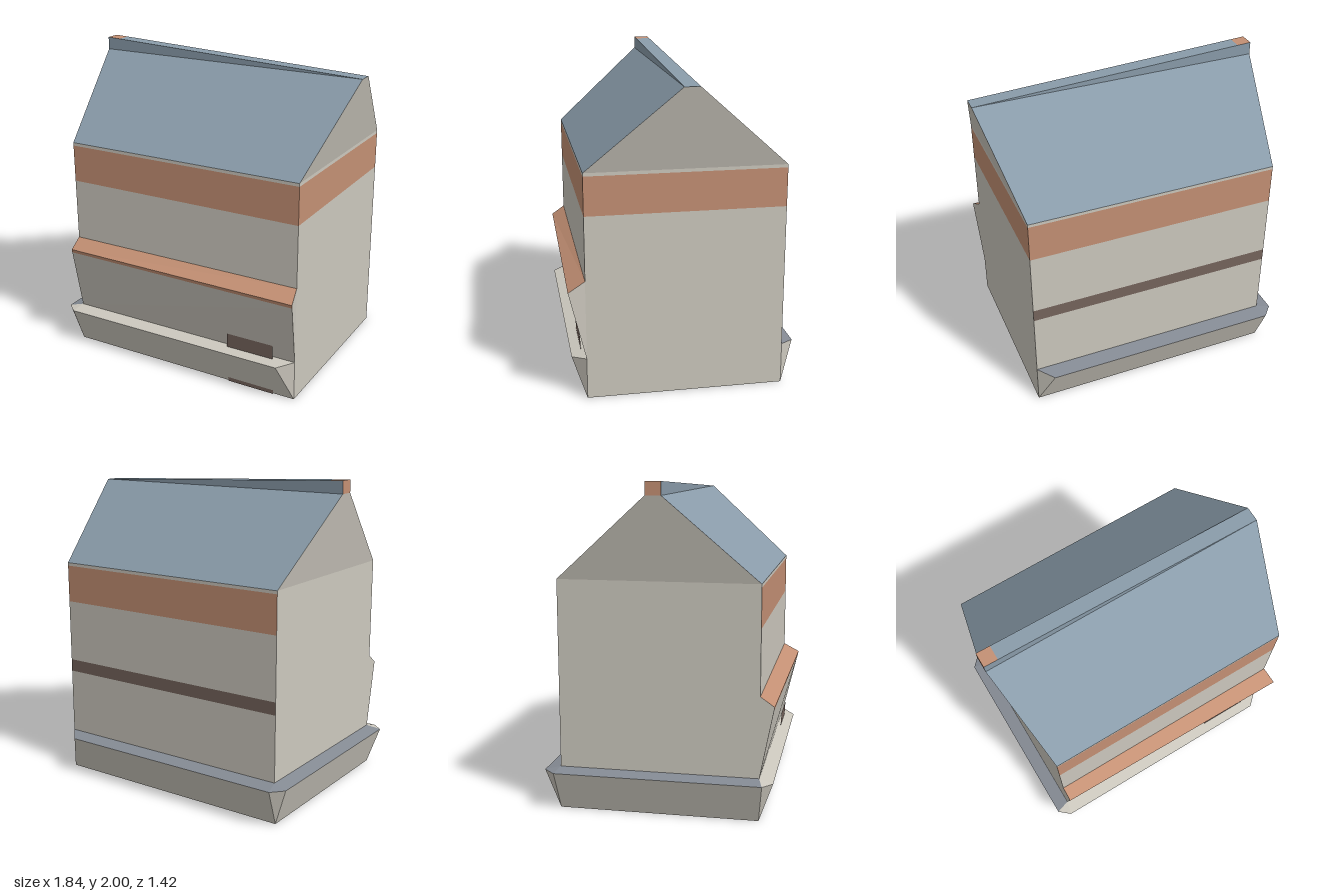
import * as THREE from 'three';

const STONE = 0xccc8be, ORANGE = 0xc49074, SLATE = 0x8a9caa, BROWN = 0x75645c, GREY = 0x858b94;

// Wall planes and main heights of the shell
const L = -0.82, R = 0.79, F = 0.605, B = -0.62;
const SKIRT = 0.26, BAND = 1.16, BAND_TOP = 1.4, EAVE = 1.42, RIDGE = 1.92;
const CORE = new THREE.Vector3(0, 0.1, 0);

export function createModel() {
  const model = new THREE.Group();

  // Builds one mesh from convex polygons, each wound to face away from the core
  function panel(name, color, ...polygons) {
    const pos = [];
    for (const polygon of polygons) {
      const p = polygon.map((q) => new THREE.Vector3(...q));
      const normal = p[1].clone().sub(p[0]).cross(p[2].clone().sub(p[0]));
      const centre = p.reduce((s, q) => s.add(q), new THREE.Vector3()).divideScalar(p.length);
      if (normal.dot(centre.sub(CORE)) < 0) p.reverse();
      for (let i = 1; i < p.length - 1; i++)
        for (const q of [p[0], p[i], p[i + 1]]) pos.push(q.x, q.y, q.z);
    }
    const geometry = new THREE.BufferGeometry();
    geometry.setAttribute('position', new THREE.Float32BufferAttribute(pos, 3));
    geometry.computeVertexNormals();
    const material = new THREE.MeshStandardMaterial({ color, flatShading: true, side: THREE.DoubleSide });
    const mesh = new THREE.Mesh(geometry, material);
    mesh.name = name;
    model.add(mesh);
  }

  // Upright strips along the front or back (fixed z) and along a side (fixed x)
  const across = (z, y0, y1) => [[L, y0, z], [R, y0, z], [R, y1, z], [L, y1, z]];
  const along = (x, y0, y1) => [[x, y0, B], [x, y0, F], [x, y1, F], [x, y1, B]];
  // Quads joining two rows of points
  const skin = (a, b) => a.slice(1).map((q, i) => [a[i], q, b[i + 1], b[i]]);

  // Flared skirt round front, left and back, with chamfered corners
  const rim = [[0.7, 0.69], [-0.84, 0.69], [-0.91, 0.63], [-0.91, -0.64], [-0.84, -0.715], [0.7, -0.715]]
    .map(([x, z]) => [x, 0.24, z]);
  const corners = [[R, F], [L, F], [L, F], [L, B], [L, B], [R, B]];
  const foot = corners.map(([x, z]) => [x === L ? -0.83 : x, 0, z]);
  const wallLine = corners.map(([x, z]) => [x, SKIRT, z]);
  // Corner quads shrink to triangles where two wall points coincide
  const tidy = (q) => q.filter((p, i) => q.findIndex((o) => o.join() === p.join()) === i);
  const flare = skin(foot, rim).map(tidy);
  const tops = skin(wallLine, rim).map(tidy);
  panel('skirt', STONE, ...flare,
    [foot[0], rim[0], wallLine[0]], [foot[5], rim[5], wallLine[5]]);
  panel('skirtFrontTop', STONE, ...tops.slice(0, 2));
  panel('skirtSideTop', GREY, ...tops.slice(2));

  // Front: lower wall leaning out to a sloped ledge, upright above
  const ledgeL = [L, 0.7, 0.69], ledgeR = [0.81, 0.7, 0.71];
  const t = 0.95; // where the coloured lip starts on the leaning wall
  const lean = (x, tip) => [x, SKIRT, F].map((v, i) => v + (tip[i] - v) * t);
  const lipL = lean(L, ledgeL), lipR = lean(R, ledgeR);
  panel('lowerFrontWall', STONE, [[L, SKIRT, F], [R, SKIRT, F], lipR, lipL]);
  panel('frontLedge', ORANGE, [lipL, lipR, ledgeR, ledgeL],
    [ledgeL, ledgeR, [R, 0.76, F], [L, 0.76, F]]);
  panel('ledgeEnds', STONE, [[L, SKIRT, F], ledgeL, [L, 0.76, F]],
    [[R, SKIRT, F], ledgeR, [R, 0.76, F]]);
  panel('upperFrontWall', STONE, across(F, 0.76, BAND), across(F, BAND_TOP, EAVE));

  // Back wall with a dark flat stripe
  panel('backWall', STONE, across(B, SKIRT, 0.68), across(B, 0.76, BAND), across(B, BAND_TOP, EAVE));
  panel('backStripe', BROWN, across(B, 0.68, 0.76));

  // Side walls: the right one runs to the ground, the left one stands on the skirt
  panel('rightWall', STONE, along(R, 0, BAND), along(R, BAND_TOP, EAVE));
  panel('leftWall', STONE, along(L, SKIRT, EAVE));

  // Wide band under the eaves on front, right and back
  panel('upperBand', ORANGE, across(F, BAND, BAND_TOP), across(B, BAND, BAND_TOP),
    along(R, BAND, BAND_TOP));

  // Roof slopes and outward-leaning gables
  const X = 0.92, ZF = 0.04, ZB = -0.055;
  const slope = (z, rz) => [[L, EAVE, z], [R, EAVE, z], [X, RIDGE, rz], [-X, RIDGE, rz]];
  panel('roof', SLATE, slope(F, ZF), slope(B, ZB));
  const gable = (x, rx) => [[x, EAVE, F], [x, EAVE, B], [rx, RIDGE, ZB], [rx, RIDGE, ZF]];
  panel('gables', STONE, gable(R, X), gable(L, -X));

  // Wedge along the ridge, tallest at the left where its end is coloured
  const CAP = -0.83, capY = 2 - 0.08 * (X + CAP) / (2 * X);
  const top = (x0, y0, x1, y1) => [[x0, y0, ZF], [x1, y1, ZF], [x1, y1, ZB], [x0, y0, ZB]];
  const cheek = (z) => [[-X, RIDGE, z], [X, RIDGE, z], [-X, 2, z]];
  panel('ridgeCap', SLATE, cheek(ZF), cheek(ZB), top(CAP, capY, X, RIDGE));
  panel('ridgeEnd', ORANGE, top(-X, 2, CAP, capY),
    [[-X, RIDGE, ZF], [-X, RIDGE, ZB], [-X, 2, ZB], [-X, 2, ZF]]);

  // Dark door plate that shows above and below the front skirt
  panel('doorPlate', BROWN, [[0.33, 0, 0.613], [0.65, 0, 0.613], [0.65, 0.35, 0.632], [0.33, 0.35, 0.632]]);

  return model;
}
